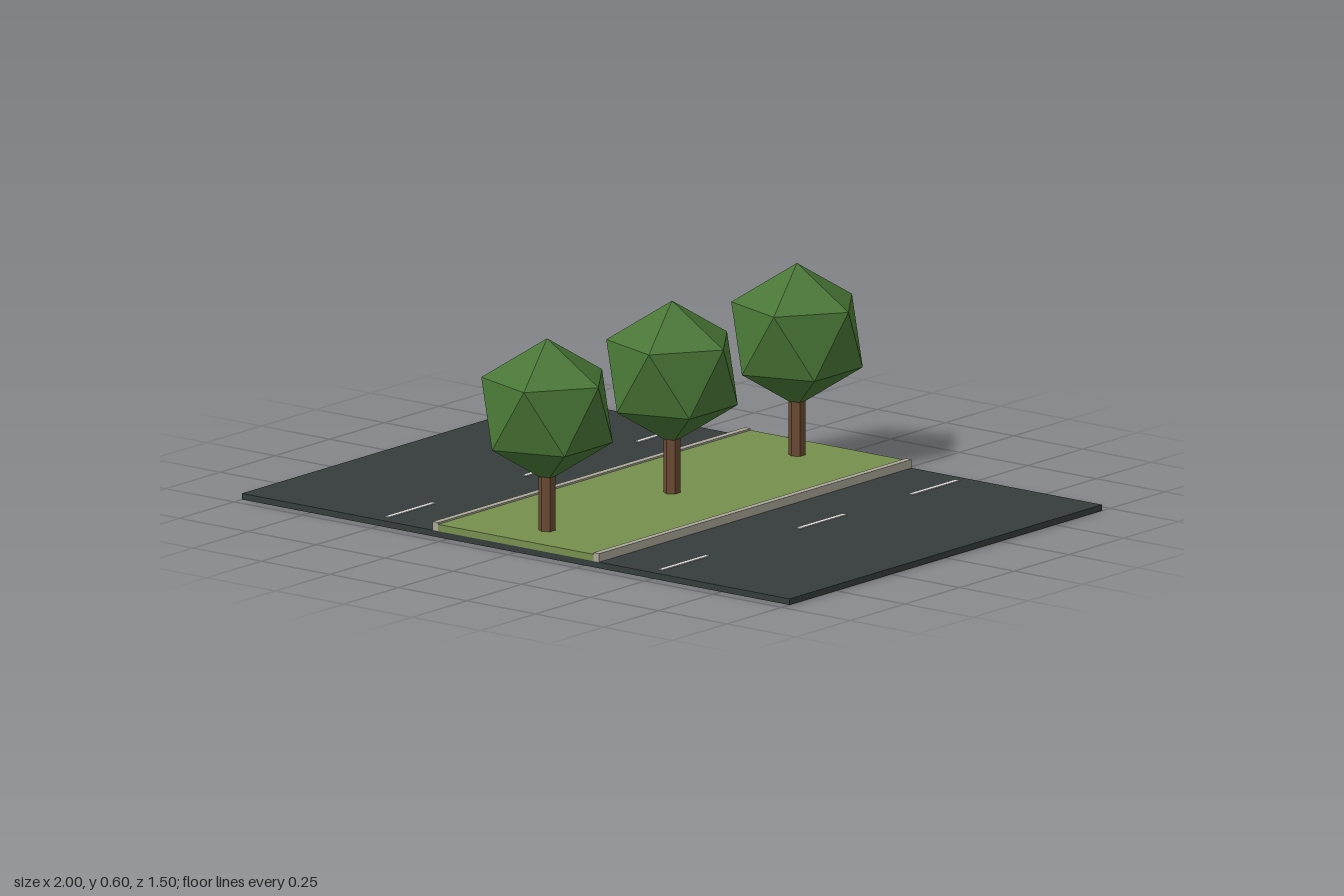
import * as THREE from 'three';

const mat = (name, color) => {
  const m = new THREE.MeshStandardMaterial({ color });
  m.name = name;
  return m;
};

export function createModel() {
  const asphalt = mat('asphalt', 0x363c3c);
  const grass = mat('grass', 0x768f4e);
  const stone = mat('kerbStone', 0xaba699);
  const paint = mat('roadPaint', 0xd9d9d6);
  const bark = mat('bark', 0x6b4a32);
  const leaves = mat('leaves', 0x477534);

  const model = new THREE.Group();
  model.name = 'treeLinedRoad';

  const DEPTH = 1.428, ROAD_TOP = 0.018;

  // Box given by its centre in x and z, and its bottom and top heights
  const slab = (name, material, w, d, x, z, y0, y1) => {
    const mesh = new THREE.Mesh(new THREE.BoxGeometry(w, y1 - y0, d), material);
    mesh.position.set(x, (y0 + y1) / 2, z);
    mesh.name = name;
    model.add(mesh);
  };

  // Road bed and raised grass median
  slab('road', asphalt, 2, DEPTH, 0, 0, 0, ROAD_TOP);
  slab('grassMedian', grass, 0.568, DEPTH, 0, 0, ROAD_TOP, 0.038);

  // Kerbs and dashed lane lines on both sides
  for (const side of [-1, 1]) {
    const label = side > 0 ? 'left' : 'right';
    slab(`${label}Kerb`, stone, 0.021, DEPTH, side * 0.294, 0, ROAD_TOP, 0.043);
    for (const z of [-0.573, -0.058, 0.57]) {
      slab(`${label}LaneDash`, paint, 0.016, 0.214, side * 0.5, z, ROAD_TOP, 0.0205);
    }
  }

  // Crown: icosahedron turned to stand on a corner
  const crownGeometry = new THREE.IcosahedronGeometry(0.21, 0);
  crownGeometry.rotateZ(-Math.atan(2 / (1 + Math.sqrt(5))));
  const trunkGeometry = new THREE.CylinderGeometry(0.0245, 0.0245, 0.19, 6).toNonIndexed();
  trunkGeometry.computeVertexNormals();

  // Row of trees along the median
  for (const z of [-0.571, 0, 0.571]) {
    const tree = new THREE.Group();
    tree.name = 'tree';
    tree.position.z = z;
    const trunk = new THREE.Mesh(trunkGeometry, bark);
    trunk.name = 'trunk';
    trunk.position.y = 0.125;
    const crown = new THREE.Mesh(crownGeometry, leaves);
    crown.name = 'crown';
    crown.position.y = 0.391;
    tree.add(trunk, crown);
    model.add(tree);
  }

  return model;
}
